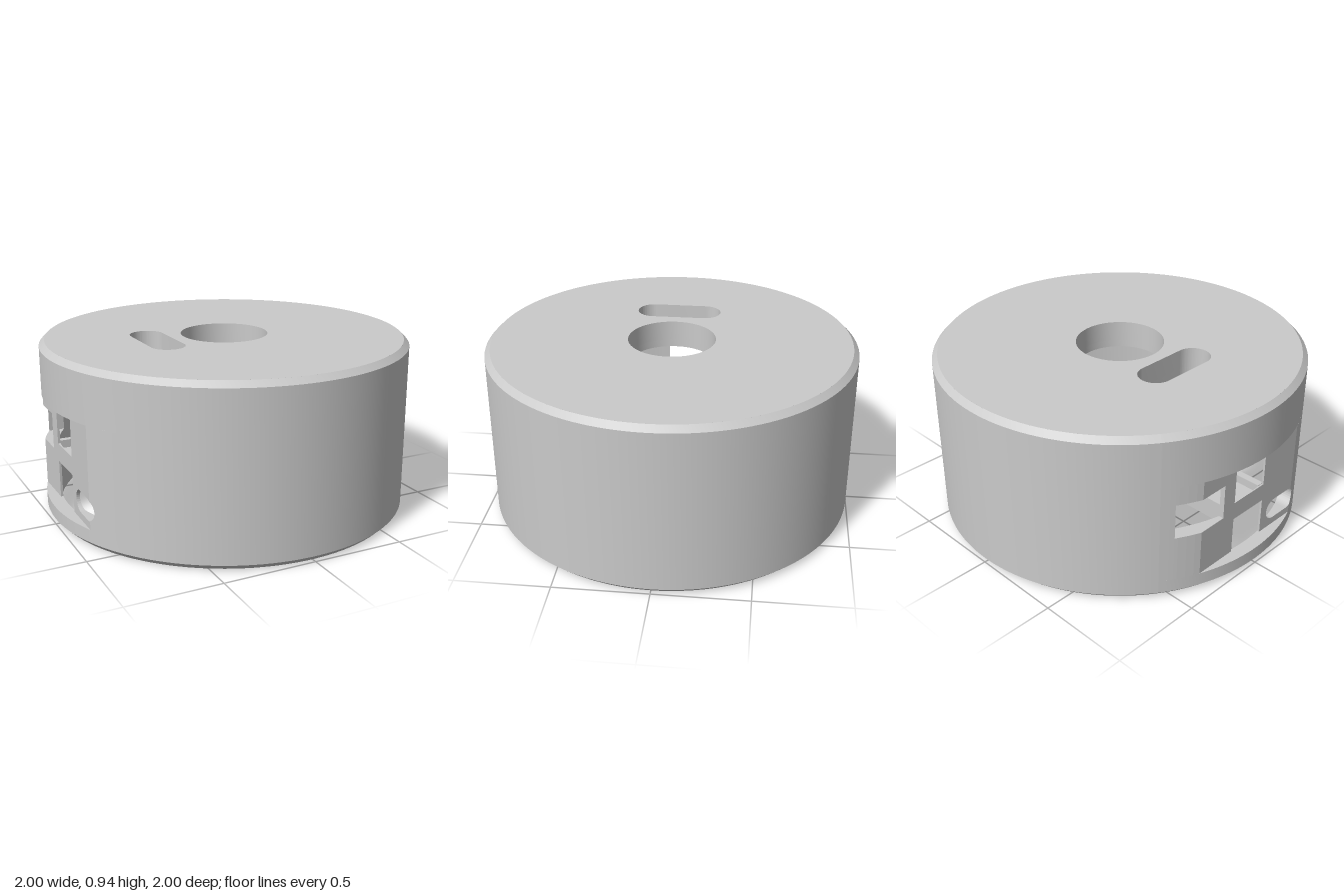
import * as THREE from 'three';
import { mergeGeometries, toCreasedNormals } from 'three/addons/utils/BufferGeometryUtils.js';

const OUTER = 1, INNER = 0.925, POCKET_X = 0.93;
const TOP = 0.94, CEILING = 0.79, RECESS = 0.83;
const POCKET_LOW = 0.1, POCKET_HIGH = 0.65;
const PANEL_Z = 0.56;

export function createModel() {
  const grey = new THREE.MeshStandardMaterial({ color: 0xcacaca });
  grey.name = 'light grey';
  const model = new THREE.Group();
  model.name = 'roundHousing';

  const add = (name, geometry, parent = model) => {
    const mesh = new THREE.Mesh(geometry, grey);
    mesh.name = name;
    parent.add(mesh);
    return mesh;
  };
  const lathe = (points, segments, start = 0, length = Math.PI * 2) =>
    toCreasedNormals(
      new THREE.LatheGeometry(points.map(([r, y]) => new THREE.Vector2(r, y)), segments, start, length), 0.5);

  // Wall: full height all round, except above and below the pocket panel at -x
  const foot = [[INNER, 0.01], [0.935, 0], [0.97, 0], [OUTER, 0.03]];
  const crown = [[OUTER, 0.91], [0.97, TOP], [INNER, TOP - 0.01]];
  const gap = Math.asin(PANEL_Z), middle = Math.PI * 1.5;
  add('wall', lathe([...foot, ...crown, foot[0]], 108, middle + gap, Math.PI * 2 - 2 * gap));
  add('wallBelowPocket', lathe([...foot, [OUTER, POCKET_LOW], [INNER, POCKET_LOW], foot[0]],
    28, middle - gap, 2 * gap));
  add('wallAbovePocket', lathe([[INNER, POCKET_HIGH], [OUTER, POCKET_HIGH], ...crown, [INNER, POCKET_HIGH]],
    28, middle - gap, 2 * gap));
  add('pocketPanel', pocketPanel());

  // Thick top with a round hole and a slot, and a shallow recess underneath
  const plate = (name, y0, y1, radius, recessed) => {
    const disc = new THREE.Shape().absarc(0, 0, radius, 0, Math.PI * 2, false);
    disc.holes.push(new THREE.Path().absarc(0, 0, 0.237, 0, Math.PI * 2, true));
    const slot = new THREE.Path();
    slot.absarc(-0.397, 0.144, 0.092, 0, Math.PI, false);
    slot.absarc(-0.397, -0.144, 0.092, Math.PI, Math.PI * 2, false);
    slot.closePath();
    disc.holes.push(slot);
    if (recessed) {
      disc.holes.push(new THREE.Path([[-0.2, -0.71], [0.2, -0.71], [0.2, -0.45], [-0.2, -0.45]]
        .map(([x, y]) => new THREE.Vector2(x, y))).closePath());
    }
    const g = new THREE.ExtrudeGeometry(disc, { depth: y1 - y0, bevelEnabled: false, curveSegments: 64 });
    add(name, toCreasedNormals(g.rotateX(-Math.PI / 2).translate(0, y0, 0), 0.5));
  };
  plate('topPlate', RECESS, TOP, 0.97, false);
  plate('recessedCeiling', CEILING, RECESS, 0.95, true);

  // Open tray running inward from the pocket
  const tray = new THREE.Group();
  tray.name = 'tray';
  model.add(tray);
  const box = (name, x0, x1, y0, y1, z0, z1) =>
    add(name, new THREE.BoxGeometry(x1 - x0, y1 - y0, z1 - z0)
      .translate((x0 + x1) / 2, (y0 + y1) / 2, (z0 + z1) / 2), tray);
  box('trayFloor', -0.92, -0.265, 0.3, 0.365, -0.185, 0.12);
  box('trayBackWall', -0.92, -0.265, 0.365, 0.408, -0.185, -0.15);
  box('trayFrontWall', -0.92, -0.265, 0.365, 0.408, 0.08, 0.12);
  box('trayEndWall', -0.31, -0.265, 0.365, 0.408, -0.15, 0.08);

  // Screw posts along the inside of the wall
  const post = lathe([[0, 0.28], [0.04, 0.28], [0.04, 0.1], [0.097, 0.1], [0.097, 0.31], [0, 0.31]], 32);
  for (const degrees of [46, 115, 224, 295]) {
    const a = THREE.MathUtils.degToRad(degrees);
    add('screwPost', post).position.set(0.86 * Math.cos(a), 0, 0.86 * Math.sin(a));
  }
  return model;
}

// Thin wall, flat outside and round inside, built in columns around the openings
function pocketPanel() {
  const rect = (z0, z1, low, high) => ({ z0, z1, span: () => [low, high] });
  const slotR = 0.06, slotY = 0.2;
  const openings = [
    rect(-0.495, -0.204, 0.355, 0.55),
    rect(-0.12, 0.113, POCKET_LOW, 0.305),
    rect(-0.12, 0.113, 0.405, 0.605),
    { z0: 0.16, z1: 0.4, span: (z) => {
      const d = Math.max(0, 0.16 + slotR - z, z - (0.4 - slotR));
      const h = Math.sqrt(Math.max(0, slotR * slotR - d * d));
      return [slotY - h, slotY + h];
    } },
  ];

  // Column edges: even steps, opening sides, pocket sides and the slot's round ends
  const edge = Math.sqrt(1 - POCKET_X * POCKET_X);
  const cuts = [-edge, edge];
  for (let i = 0; i <= 28; i++) cuts.push(-PANEL_Z + (i / 28) * 2 * PANEL_Z);
  for (const o of openings) cuts.push(o.z0, o.z1);
  for (let i = 1; i <= 8; i++) {
    const d = slotR * (1 - Math.cos((i / 8) * Math.PI / 2));
    cuts.push(0.16 + d, 0.4 - d);
  }
  cuts.sort((a, b) => a - b);

  const outside = (z) => -Math.min(POCKET_X, Math.sqrt(OUTER - z * z));
  const inside = (z) => -Math.sqrt(INNER * INNER - z * z);
  const blocks = [];
  for (let i = 0; i + 1 < cuts.length; i++) {
    const za = cuts[i], zb = cuts[i + 1], mid = (za + zb) / 2;
    if (zb - za < 1e-5) continue;
    const active = openings.filter((o) => mid > o.z0 && mid < o.z1);
    // Levels alternate between the bottom and top of each solid piece
    const levels = (z) => [POCKET_LOW, ...active.flatMap((o) => o.span(z)), POCKET_HIGH];
    const la = levels(za), lb = levels(zb);
    for (let k = 0; k < la.length; k += 2) {
      if (la[k + 1] - la[k] < 1e-5 && lb[k + 1] - lb[k] < 1e-5) continue;
      const g = new THREE.BoxGeometry(1, 1, 1);
      const p = g.attributes.position;
      for (let v = 0; v < p.count; v++) {
        const z = p.getZ(v) < 0 ? za : zb;
        const l = p.getZ(v) < 0 ? la : lb;
        p.setXYZ(v, p.getX(v) < 0 ? outside(z) : inside(z), l[p.getY(v) < 0 ? k : k + 1], z);
      }
      g.computeVertexNormals();
      blocks.push(g);
    }
  }
  return mergeGeometries(blocks);
}
